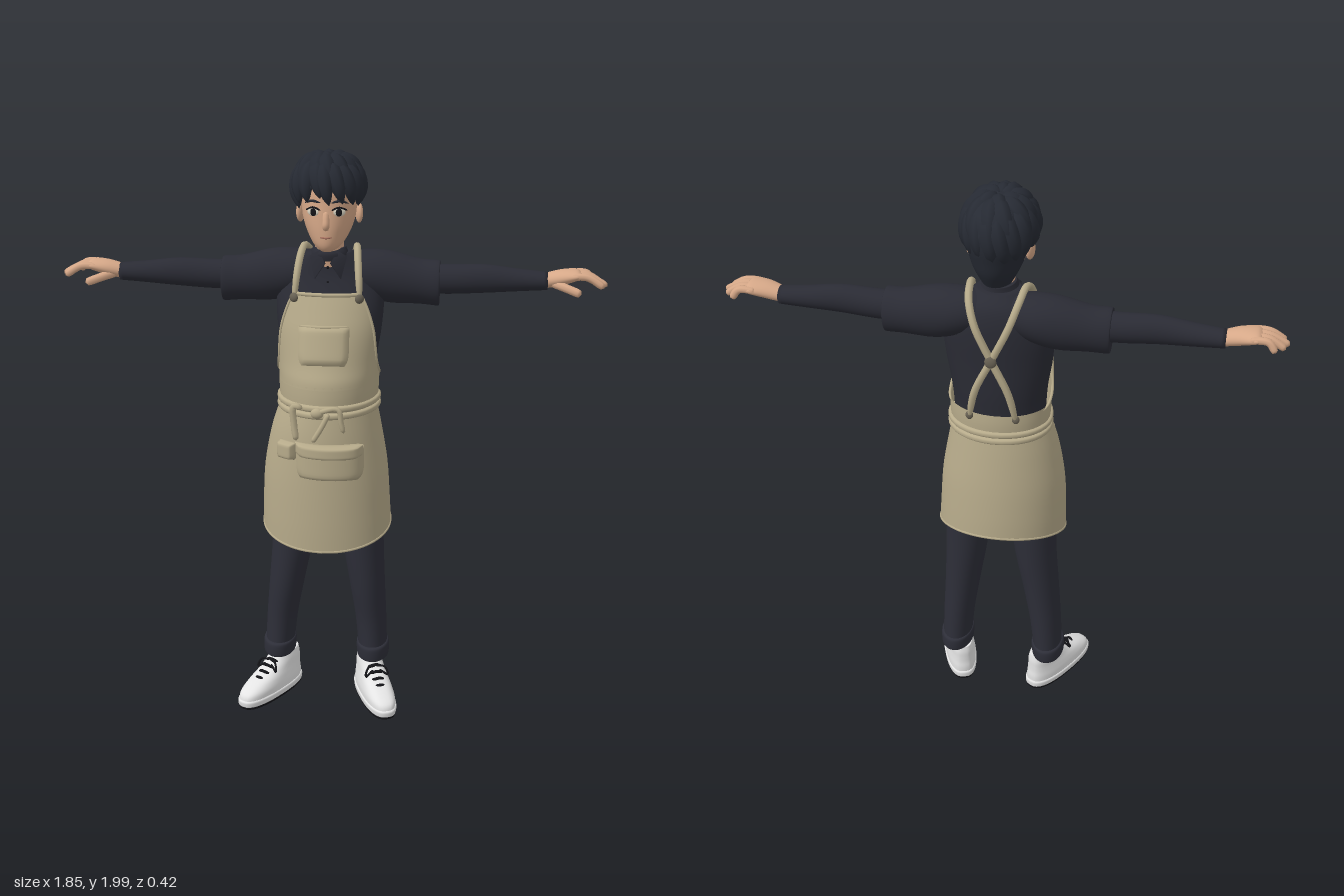
import * as THREE from 'three';
import { mergeVertices } from 'three/addons/utils/BufferGeometryUtils.js';

const V = (x, y, z) => new THREE.Vector3(x, y, z);
const paint = (name, color, side = THREE.FrontSide) => {
  const m = new THREE.MeshStandardMaterial({ color, side });
  m.name = name;
  return m;
};

// Weld seams and smooth the normals
function weld(g) {
  g.deleteAttribute('uv');
  g.deleteAttribute('normal');
  const m = mergeVertices(g, 1e-5);
  m.computeVertexNormals();
  return m;
}

// Mirrored copy across x
function flip(g) {
  const m = g.clone().scale(-1, 1, 1), ix = m.index.array;
  for (let i = 0; i < ix.length; i += 3) [ix[i], ix[i + 1]] = [ix[i + 1], ix[i]];
  m.computeVertexNormals();
  return m;
}

// Catmull-Rom interpolation of whole section rows
function refine(rows, k = 5) {
  const out = [], at = i => rows[Math.min(rows.length - 1, Math.max(0, i))];
  for (let i = 0; i < rows.length - 1; i++) for (let j = 0; j < k; j++) {
    const t = j / k;
    out.push(rows[i].map((p1, c) => {
      const p0 = at(i - 1)[c], p2 = at(i + 1)[c], p3 = at(i + 2)[c];
      return p1 + 0.5 * t * (p2 - p0 + t * (2 * p0 - 5 * p1 + 4 * p2 - p3 + t * (3 * (p1 - p2) + p3 - p0)));
    }));
  }
  out.push(at(rows.length - 1));
  return out;
}

// Skin over rows; point(row, u) gives the outline, caps collapse the end rings
function loft(rows, point, caps = true, n = 36) {
  const rings = refine(rows).map(r => Array.from({ length: n + 1 }, (_, i) => point(r, i / n)));
  const middle = ring => {
    const c = V(0, 0, 0);
    for (let i = 0; i < n; i++) c.addScaledVector(ring[i], 1 / n);
    return ring.map(() => c);
  };
  if (caps) { rings.unshift(middle(rings[0])); rings.push(middle(rings.at(-1))); }
  const pos = rings.flat().flatMap(p => [p.x, p.y, p.z]), ix = [];
  for (let j = 0; j < rings.length - 1; j++) for (let i = 0; i < n; i++) {
    const a = j * (n + 1) + i, b = a + n + 1;
    ix.push(a, a + 1, b + 1, a, b + 1, b);
  }
  const g = new THREE.BufferGeometry();
  g.setAttribute('position', new THREE.Float32BufferAttribute(pos, 3));
  g.setIndex(ix);
  return weld(g);
}

// Level outline, row = [y, cx, cz, rx, rFront, rBack]; angle 0 faces the front
const oval = ([y, cx, cz, rx, rf, rb], a) =>
  V(cx + rx * Math.sin(a), y, cz + (Math.cos(a) > 0 ? rf : rb) * Math.cos(a));
const level = (r, u) => oval(r, u * Math.PI * 2);
// Outline across an arm, row = [x, cy, cz, ry, rz]
const across = ([x, cy, cz, ry, rz], u) =>
  V(x, cy + ry * Math.cos(u * Math.PI * 2), cz + rz * Math.sin(u * Math.PI * 2));

const round = t => Math.sqrt(Math.max(0, 1 - Math.pow(2 * t - 1, 10)));
const pointed = t => Math.pow(Math.max(0, Math.sin(Math.PI * Math.pow(t, 0.85))), 0.7);

// Tube whose radius varies along its path
function tube(pts, r, shape = round, seg = 20) {
  const curve = new THREE.CatmullRomCurve3(pts.map(p => V(...p)));
  const g = new THREE.TubeGeometry(curve, seg, 1, 8), p = g.attributes.position, v = V(0, 0, 0);
  for (let i = 0; i < p.count; i++) {
    const t = Math.floor(i / 9) / seg, c = curve.getPointAt(t);
    v.fromBufferAttribute(p, i).sub(c).multiplyScalar(r * shape(t)).add(c);
    p.setXYZ(i, v.x, v.y, v.z);
  }
  return weld(g);
}

// Soft pocket: pillowed, narrowed at the bottom and wrapped around the body
function pad(w, h, d, k) {
  const g = new THREE.BoxGeometry(w, h, d, 16, 12, 2), p = g.attributes.position;
  for (let i = 0; i < p.count; i++) {
    const u = 2 * p.getX(i) / w, v = 2 * p.getY(i) / h;
    const x = p.getX(i) * (1 - 0.16 * Math.pow(Math.max(0, -v), 4));
    const puff = Math.sqrt(Math.max(0, (1 - u ** 8) * (1 - v ** 8)));
    p.setXYZ(i, x, p.getY(i), p.getZ(i) * (0.15 + 0.85 * puff) - k * x * x);
  }
  return weld(g);
}
const ball = (x, y, z, sx, sy, sz, ry = 0) =>
  weld(new THREE.SphereGeometry(1, 20, 14)).scale(sx, sy, sz).rotateY(ry).translate(x, y, z);

export function createModel() {
  const root = new THREE.Group();
  root.name = 'apronWorker';
  const shirt = paint('shirt', 0x2a2b34), trousers = paint('trousers', 0x2d2e38);
  const apron = paint('apron', 0xb6aa8a, THREE.DoubleSide), hair = paint('hair', 0x262a33, THREE.DoubleSide);
  const skin = paint('skin', 0xd6a888), white = paint('shoeWhite', 0xe4e4e4);
  const black = paint('black', 0x141418), buckle = paint('buckle', 0x6a6355);
  const eyeWhite = paint('eyeWhite', 0xd8d2c0), lip = paint('lip', 0xa8705f);
  const add = (name, g, mat, parent = root) => {
    const m = new THREE.Mesh(g, mat);
    m.name = name;
    parent.add(m);
    return m;
  };
  const both = (name, g, mat) => { add(name + 'Left', g, mat); add(name + 'Right', flip(g), mat); };

  // Shirt
  add('torso', loft([[1.0, 0, -.03, .15, .15, .12], [1.2, 0, -.025, .155, .165, .125], [1.3, 0, -.03, .163, .155, .125],
    [1.4, 0, -.035, .178, .14, .12], [1.5, 0, -.045, .183, .105, .113], [1.57, 0, -.055, .165, .085, .1],
    [1.62, 0, -.055, .12, .075, .085], [1.655, 0, -.04, .07, .06, .065]], level), shirt);
  both('sleeve', loft([[.03, 1.585, -.07, .06, .065], [.12, 1.573, -.075, .08, .085], [.2, 1.562, -.075, .088, .083],
    [.3, 1.55, -.07, .077, .071], [.36, 1.546, -.065, .077, .067], [.37, 1.546, -.065, .074, .064]], across), shirt);
  both('forearm', loft([[.28, 1.56, -.066, .05, .05], [.4, 1.56, -.064, .05, .047], [.52, 1.565, -.062, .048, .042],
    [.63, 1.562, -.066, .038, .039], [.73, 1.56, -.069, .03, .035]], across), shirt);
  add('collarBand', loft([[1.63, 0, -.03, .072, .062, .07], [1.655, 0, -.025, .062, .06, .07],
    [1.672, 0, -.028, .054, .05, .066]], level), shirt);
  const flap = new THREE.Shape([[.008, 1.625], [.045, 1.575], [.064, 1.65], [.03, 1.668]].map(p => new THREE.Vector2(...p)));
  const flapGeo = weld(new THREE.ExtrudeGeometry(flap, { depth: .008, bevelEnabled: false })).translate(0, -1.6, 0)
    .rotateY(.35).rotateX(-.2).translate(0, 1.6, .04);
  both('collarFlap', flapGeo, shirt);
  for (const y of [1.61, 1.56]) add('shirtButton', ball(0, y, .03, .005, .005, .005), black);

  // Hands
  both('palm', loft([[.715, 1.56, -.069, .025, .03], [.77, 1.573, -.066, .027, .043], [.82, 1.583, -.069, .02, .052],
    [.838, 1.583, -.069, .012, .046]], across), skin);
  [.885, .915, .927, .915].forEach((tip, i) => {
    const z = -.108 + .026 * i;
    both('finger', tube([[.8, 1.583, z], [.86, 1.582, z], [tip, 1.55, z + .004 * (i - 1.5)]], .0125), skin);
  });
  both('thumb', tube([[.74, 1.558, -.055], [.785, 1.548, -.025], [.84, 1.53, -.005]], .015), skin);

  // Head and face
  add('neck', loft([[1.6, 0, -.035, .06, .055, .06], [1.67, 0, -.022, .048, .052, .056],
    [1.76, 0, -.03, .05, .055, .06]], level), skin);
  add('head', loft([[1.67, 0, .05, .018, .02, .03], [1.68, 0, .03, .036, .052, .05], [1.7, 0, .01, .055, .08, .075],
    [1.74, 0, -.01, .076, .103, .09], [1.78, 0, -.02, .088, .112, .105], [1.83, 0, -.025, .092, .114, .115],
    [1.88, 0, -.025, .09, .11, .115], [1.93, 0, -.025, .068, .08, .09], [1.96, 0, -.03, .03, .03, .03]], level), skin);
  add('nose', tube([[0, 1.805, .08], [0, 1.78, .09], [0, 1.758, .094], [0, 1.75, .082]], .012), skin);
  add('mouth', tube([[-.024, 1.722, .082], [0, 1.72, .094], [.024, 1.722, .082]], .003), lip);
  both('ear', ball(.098, 1.785, -.03, .012, .034, .022, .4), skin);
  both('eye', ball(.043, 1.803, .078, .021, .014, .006, .38), eyeWhite);
  both('iris', ball(.042, 1.803, .083, .011, .013, .003, .38), black);
  both('upperLid', tube([[.018, 1.81, .089], [.042, 1.819, .083], [.068, 1.808, .066]], .003), black);
  both('eyebrow', tube([[.017, 1.834, .089], [.045, 1.84, .083], [.073, 1.83, .064]], .0045, pointed), hair);

  // Hair: a cap open over the face, covered in swept locks
  const cap = [[1.69, 0, -.04, .055, .05, .09, 2.1], [1.74, 0, -.04, .08, .09, .12, 1.95], [1.79, 0, -.04, .096, .11, .135, 1.75],
    [1.83, 0, -.04, .104, .13, .145, 1.35], [1.87, 0, -.04, .108, .135, .148, .9], [1.89, 0, -.04, .108, .135, .145, 0],
    [1.93, 0, -.04, .098, .115, .13, 0], [1.965, 0, -.04, .06, .07, .085, 0], [1.975, 0, -.04, .004, .004, .004, 0]];
  add('hairCap', loft(cap, (r, u) => {
    const a = Math.max(0, r[6]);
    return oval(r, a + u * 2 * (Math.PI - a));
  }, false), hair);
  let seed = 7;
  const rnd = () => (seed = (seed * 16807) % 2147483647) / 2147483647;
  const scalp = (a, phi, k) => [-.005 + .108 * k * Math.sin(phi) * Math.sin(a), 1.858 + .113 * k * Math.cos(phi),
    -.04 + .135 * k * Math.sin(phi) * Math.cos(a)];
  for (const [count, from, reach, r] of [[17, .3, 1, .03], [11, .05, .68, .032], [6, 0, .42, .027]])
    for (let i = 0; i < count; i++) {
      const a = (i + .3 * rnd()) / count * Math.PI * 2, back = (1 - Math.cos(a)) / 2;
      const end = reach * (1.62 + .65 * back + .25 * rnd()), swirl = .3 + .25 * rnd();
      const pts = [0, .35, .7, 1].map(t => scalp(a + swirl * (t - .6), from + (end - from) * t, [.8, .95, .98, 1.05][Math.round(t * 3)]));
      add('hairLock', tube(pts, r, pointed, 14), hair);
    }

  // Trousers, cuffs and shoes; the feet turn out by different amounts
  add('hips', loft([[.72, 0, -.03, .12, .08, .09], [.85, 0, -.025, .175, .12, .12], [1.1, 0, -.025, .15, .15, .12]], level), trousers);
  for (const [s, top, foot, yaw] of [[1, .118, .16, .35], [-1, .128, .187, -.52]]) {
    const at = t => s * (foot + (top - foot) * t), side = s > 0 ? 'Left' : 'Right';
    add('trouserLeg' + side, loft([[.16, at(0), -.048, .052, .08, .08], [.3, at(.2), -.045, .056, .079, .079],
      [.45, at(.55), -.036, .064, .086, .086], [.65, at(1), -.034, .076, .092, .092],
      [.9, at(1.2), -.03, .085, .1, .1]], level), trousers);
    add('trouserCuff' + side, loft([[.15, at(0), -.046, .05, .08, .08], [.156, at(0), -.046, .058, .088, .088],
      [.198, at(.03), -.046, .059, .09, .09], [.206, at(.06), -.046, .05, .078, .078]], level), trousers);
    const shoe = new THREE.Group();
    shoe.name = 'shoe' + side;
    shoe.position.set(s * (foot - .01), 0, -.035);
    shoe.rotation.y = yaw;
    root.add(shoe);
    const last = ([y, cx, cz, rx, rf, rb], u) => {
      const c = Math.cos(u * 2 * Math.PI), q = Math.sin(u * 2 * Math.PI);
      return V(cx + rx * Math.sign(q) * Math.abs(q) ** .75, y, cz + (c > 0 ? rf : rb) * Math.sign(c) * Math.abs(c) ** .85);
    };
    add('outsole', loft([[0, 0, .065, .05, .16, .145], [.004, 0, .065, .056, .17, .153], [.014, 0, .065, .057, .172, .154]], last), black, shoe);
    add('midsole', loft([[.013, 0, .065, .058, .173, .155], [.03, 0, .065, .06, .175, .156], [.036, 0, .065, .056, .17, .153]], last), white, shoe);
    add('upper', loft([[.03, 0, .065, .056, .17, .15], [.055, 0, .065, .056, .16, .15], [.078, 0, .05, .052, .13, .132],
      [.1, 0, .025, .047, .095, .106], [.125, 0, .0, .043, .075, .08], [.15, 0, -.01, .036, .06, .065]], last), white, shoe);
    for (let i = 0; i < 4; i++) {
      const z = .062 + .024 * i, y = .136 - .015 * i;
      add('lace', tube([[-.034, y - .02, z - .012], [0, y + .002, z + .01], [.034, y - .02, z - .012]], .0055), black, shoe);
    }
    for (const k of [-1, 1])
      add('laceBow', tube([[0, .135, .075], [k * .03, .135, .085], [k * .042, .105, .095], [k * .012, .125, .085]], .004), black, shoe);
  }

  // Apron skirt with a slanted hem, row = [t, cx, cz, rx, rFront, rBack]
  const skirt = (r, u) => {
    const p = level(r, u), hem = .7 - .285 * p.z;
    p.y = hem + (1.14 - hem) * r[0];
    return p;
  };
  add('apronSkirt', loft([[0, -.005, 0, .226, .19, .195], [.2, -.007, 0, .223, .19, .192], [.5, -.008, 0, .214, .186, .183],
    [.8, -.006, 0, .19, .178, .168], [1, 0, -.005, .166, .17, .15]], skirt, false, 48), apron);
  const hemRow = [0, -.005, 0, .224, .188, .193];
  add('skirtHem', tube(Array.from({ length: 25 }, (_, i) => skirt(hemRow, i / 24).toArray()), .005, () => 1, 72), apron);

  // Waistband, doubled belt and bib, bib rows end with the half angle covered
  add('waistband', loft([[1.13, 0, -.02, .168, .19, .135], [1.19, 0, -.02, .171, .192, .138], [1.232, 0, -.02, .172, .19, .136]], level, false), apron);
  for (const y of [1.133, 1.158])
    add('belt', loft([[y - .013, 0, -.02, .166, .187, .132], [y - .007, 0, -.02, .178, .2, .145],
      [y + .007, 0, -.02, .178, .2, .145], [y + .013, 0, -.02, .166, .187, .132]], level, false), apron);
  const bib = [[1.222, 0, -.02, .172, .191, .136, 2], [1.25, 0, -.02, .173, .186, .135, 1.5], [1.3, 0, -.025, .178, .173, .13, 1.2],
    [1.4, 0, -.032, .189, .153, .13, .98], [1.47, 0, -.04, .192, .135, .12, .8], [1.525, 0, -.045, .19, .118, .12, .65]];
  const bibPoint = (r, u) => oval(r, (2 * u - 1) * r[6]);
  add('bib', loft(bib, bibPoint, false), apron);
  add('bibTopHem', tube([0, .2, .4, .6, .8, 1].map(u => bibPoint(bib[5], u).toArray()), .007), apron);
  both('bibSideHem', tube(refine(bib, 2).map(r => bibPoint(r, 1).toArray()), .005, round, 30), apron);

  // Shoulder straps crossing at the back, with fasteners
  both('strap', tube([[.11, 1.5, .06], [.104, 1.58, .04], [.096, 1.645, -.01], [.09, 1.665, -.06], [.08, 1.64, -.13],
    [.055, 1.57, -.168], [0, 1.45, -.172], [-.055, 1.33, -.168], [-.08, 1.21, -.15]], .0125, round, 48), apron);
  both('strapButton', ball(.11, 1.515, .07, .016, .016, .01, .5), buckle);
  both('backFastener', ball(.078, 1.225, -.152, .013, .016, .009), buckle);
  add('crossFastener', ball(0, 1.45, -.18, .02, .022, .01), buckle);

  // Pockets, pouch and tied cord
  add('bibPocket', pad(.17, .13, .03, 2.2).rotateX(-.27).translate(-.005, 1.366, .134), apron);
  add('bibPocketHem', tube([[-.09, 1.425, .1], [-.005, 1.427, .122], [.08, 1.425, .1]], .006), apron);
  add('pouch', pad(.235, .12, .07, 2.6).translate(.018, .97, .182), apron);
  add('pouchFlap', pad(.23, .045, .06, 2.6).translate(.018, 1.015, .194), apron);
  add('sidePouch', pad(.07, .06, .05, 2).rotateY(-.6).translate(-.125, 1.005, .15), apron);
  add('beltKnot', ball(-.02, 1.147, .182, .022, .018, .015), apron);
  add('cordLoop', tube([[-.02, 1.15, .185], [.05, 1.165, .187], [.062, 1.115, .185], [.07, 1.08, .183]], .009), apron);
  add('cordEnd', tube([[.02, 1.15, .188], [-.005, 1.1, .194], [-.035, 1.05, .198]], .009), apron);
  add('hangingLoop', tube([[-.07, 1.16, .17], [-.1, 1.165, .165], [-.1, 1.1, .165], [-.092, 1.045, .17]], .012), apron);
  return root;
}
